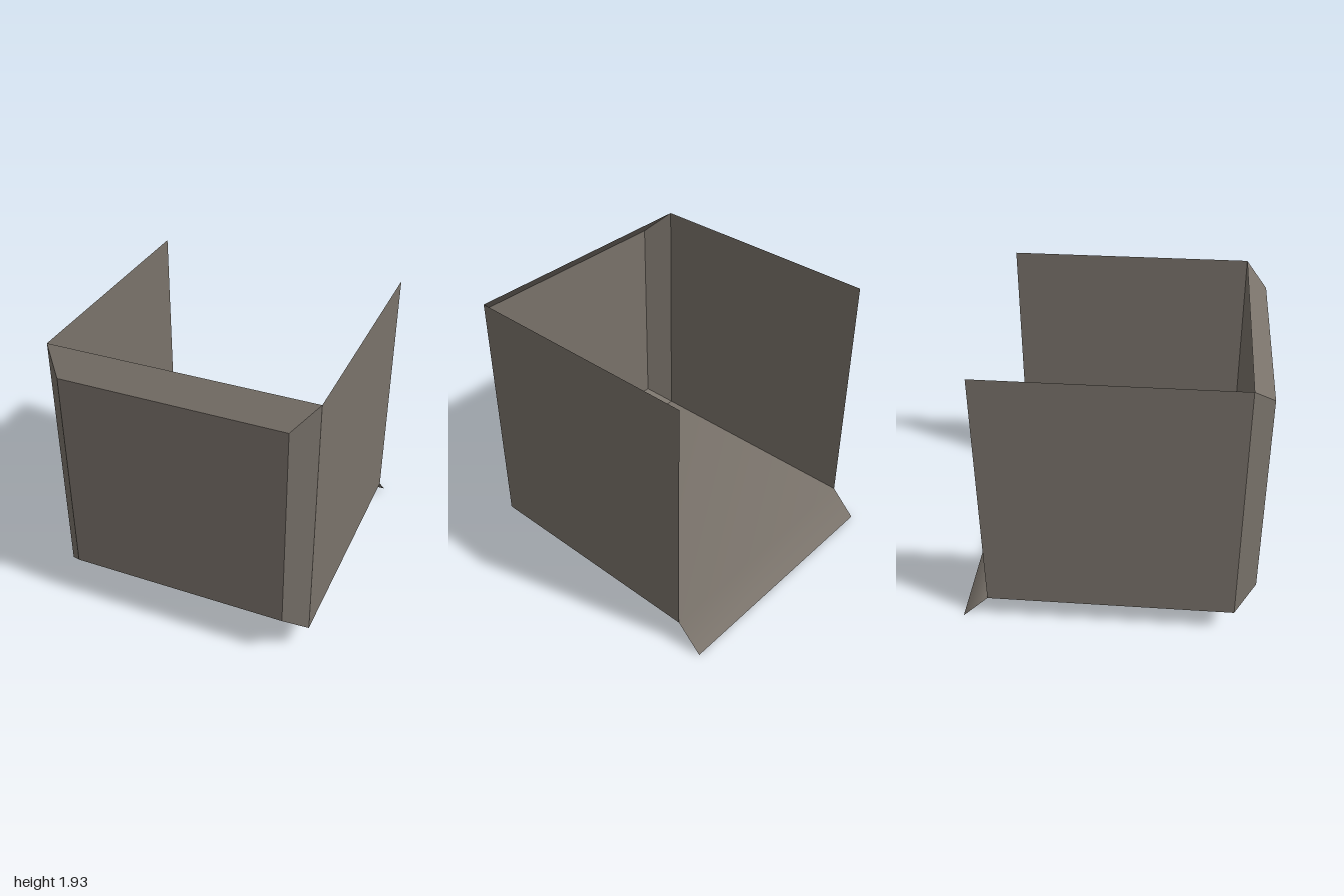
import * as THREE from 'three';

// Builds a sheet from rows of points; vertices are shared so normals run smooth across rows
function sheet(name, rows, material) {
  const n = rows[0].length;
  const index = [];
  for (let r = 0; r < rows.length - 1; r++) {
    for (let c = 0; c < n - 1; c++) {
      const a = r * n + c, b = a + 1, d = a + n, e = d + 1;
      index.push(a, b, e, a, e, d);
    }
  }
  const geometry = new THREE.BufferGeometry();
  geometry.setAttribute('position', new THREE.Float32BufferAttribute(rows.flat(2), 3));
  geometry.setIndex(index);
  geometry.computeVertexNormals();
  const mesh = new THREE.Mesh(geometry, material);
  mesh.name = name;
  return mesh;
}

export function createModel() {
  const model = new THREE.Group();
  model.name = 'openBoxHousing';
  const metal = new THREE.MeshStandardMaterial({ color: 0x79726a, side: THREE.DoubleSide });
  metal.name = 'warm grey';

  const W = 0.89, w = 0.75;               // half widths: body, front panel
  const bottom = 0.18, top = 1.93;        // body heights
  const low = 0.32, high = 1.79;          // front panel heights
  const back = -0.82, rim = 0.86, front = 1;

  // Front panel and its bevelled frame
  const inner = [[-w, low, front], [w, low, front], [w, high, front], [-w, high, front]];
  const outer = [[-W, bottom, rim], [W, bottom, rim], [W, top, rim], [-W, top, rim]];
  model.add(sheet('frontPanel', [[inner[0], inner[1]], [inner[3], inner[2]]], metal));
  ['bottomBevel', 'leftBevel', 'topBevel', 'rightBevel'].forEach((name, i) => {
    const j = (i + 1) % 4;
    model.add(sheet(name, [[outer[i], outer[j]], [inner[i], inner[j]]], metal));
  });

  // Side walls, wound to face outward
  for (const s of [1, -1]) {
    const [z0, z1] = s > 0 ? [rim, back] : [back, rim];
    model.add(sheet(s > 0 ? 'leftWall' : 'rightWall', [
      [[s * W, bottom, z0], [s * W, bottom, z1]],
      [[s * W, top, z0], [s * W, top, z1]],
    ], metal));
  }

  // Floor running smoothly into the sloping rear lip
  model.add(sheet('floorAndLip', [[bottom, rim], [bottom, back], [0, -1]].map(
    ([y, z]) => [[-W, y, z], [W, y, z]]), metal));

  return model;
}
